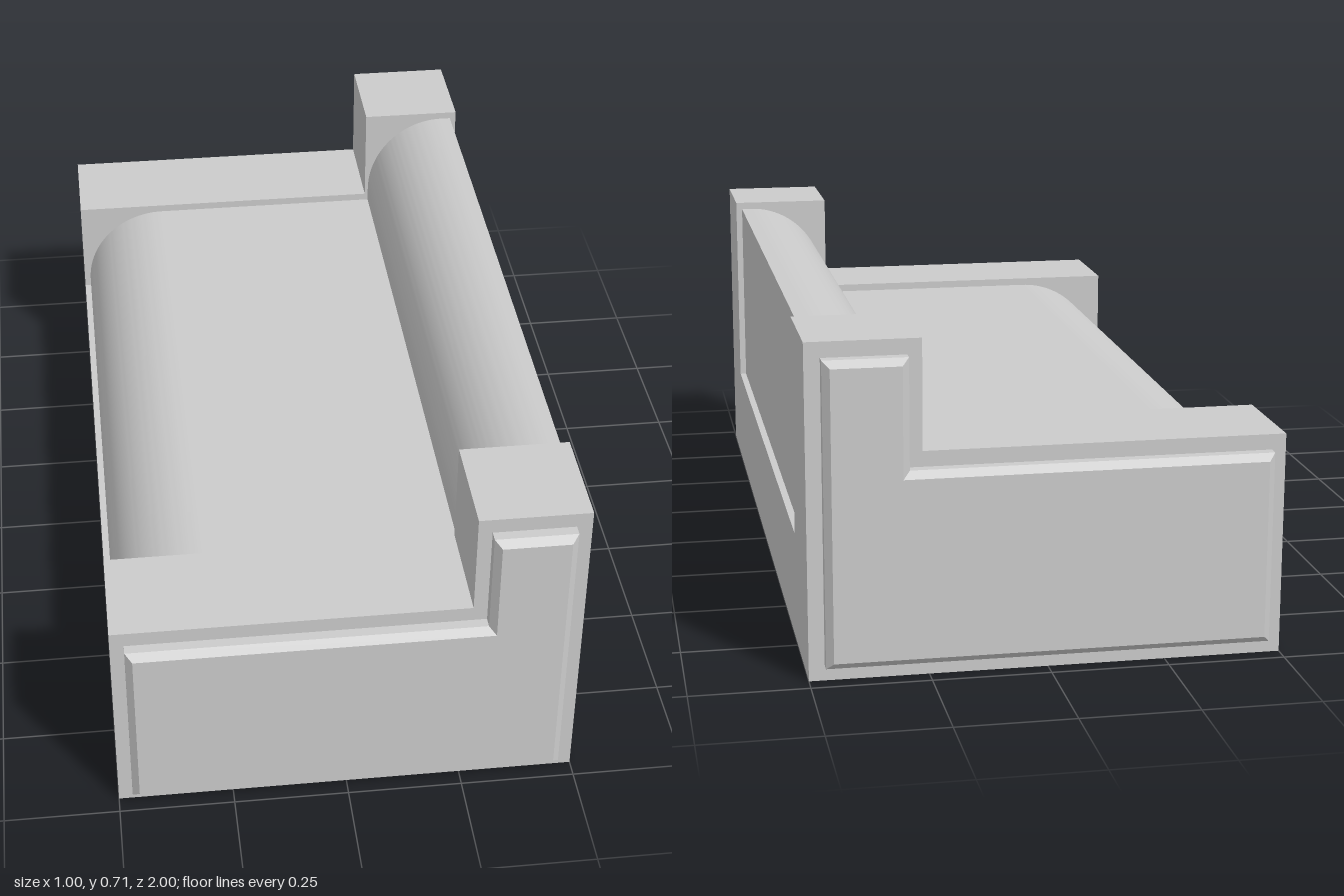
import * as THREE from 'three';
import { toCreasedNormals } from 'three/addons/utils/BufferGeometryUtils.js';

const material = new THREE.MeshStandardMaterial({ color: 0xcccccc });

// Stepped outline: low at the seat side, tall at the backrest
function stepShape(x0, x1, y0, yLow, yHigh, xStep) {
  return new THREE.Shape([
    [x0, y0], [x1, y0], [x1, yHigh], [xStep, yHigh], [xStep, yLow], [x0, yLow],
  ].map(([x, y]) => new THREE.Vector2(x, y)));
}

// Block whose upper -x edge is rounded
function cushionShape(x0, x1, y0, y1, rx, ry) {
  const s = new THREE.Shape();
  s.moveTo(x0, y0);
  s.lineTo(x1, y0);
  s.lineTo(x1, y1);
  s.lineTo(x0 + rx, y1);
  s.absellipse(x0 + rx, y1 - ry, rx, ry, Math.PI / 2, Math.PI, false);
  s.closePath();
  return s;
}

// Extrudes a shape along z, centred on z = 0; bevel chamfers both ends
function extrude(shape, length, bevel = 0) {
  const geometry = new THREE.ExtrudeGeometry(shape, {
    depth: length - 2 * bevel,
    curveSegments: 20,
    bevelEnabled: bevel > 0,
    bevelSize: bevel,
    bevelThickness: bevel,
    bevelOffset: -bevel,
    bevelSegments: 1,
  });
  return geometry.translate(0, 0, -length / 2 + bevel);
}

export function createModel() {
  const group = new THREE.Group();
  const add = (name, geometry, y = 0, z = 0) => {
    const mesh = new THREE.Mesh(geometry, material);
    mesh.name = name;
    mesh.position.set(0, y, z);
    group.add(mesh);
  };

  // Base between the arms
  add('base', new THREE.BoxGeometry(1, 0.24, 1.45), 0.12);

  // Upholstery, slightly inset from the frame
  const crease = Math.PI / 6;
  add('seatCushion', toCreasedNormals(
    extrude(cushionShape(-0.485, 0.4, 0.23, 0.46, 0.2, 0.2), 1.45), crease));
  add('backrest', toCreasedNormals(
    extrude(cushionShape(0.27, 0.485, 0.23, 0.695, 0.19, 0.2), 1.45), crease));

  // Stepped arms with chamfered end panels
  const arm = extrude(stepShape(-0.5, 0.5, 0, 0.478, 0.712, 0.262), 0.24);
  const panel = extrude(stepShape(-0.47, 0.467, 0.033, 0.445, 0.679, 0.292), 0.08, 0.015);
  for (const [side, sign] of [['front', 1], ['rear', -1]]) {
    add(`${side}Arm`, arm, 0, sign * 0.842);
    add(`${side}ArmPanel`, panel, 0, sign * 0.96);
  }
  return group;
}
